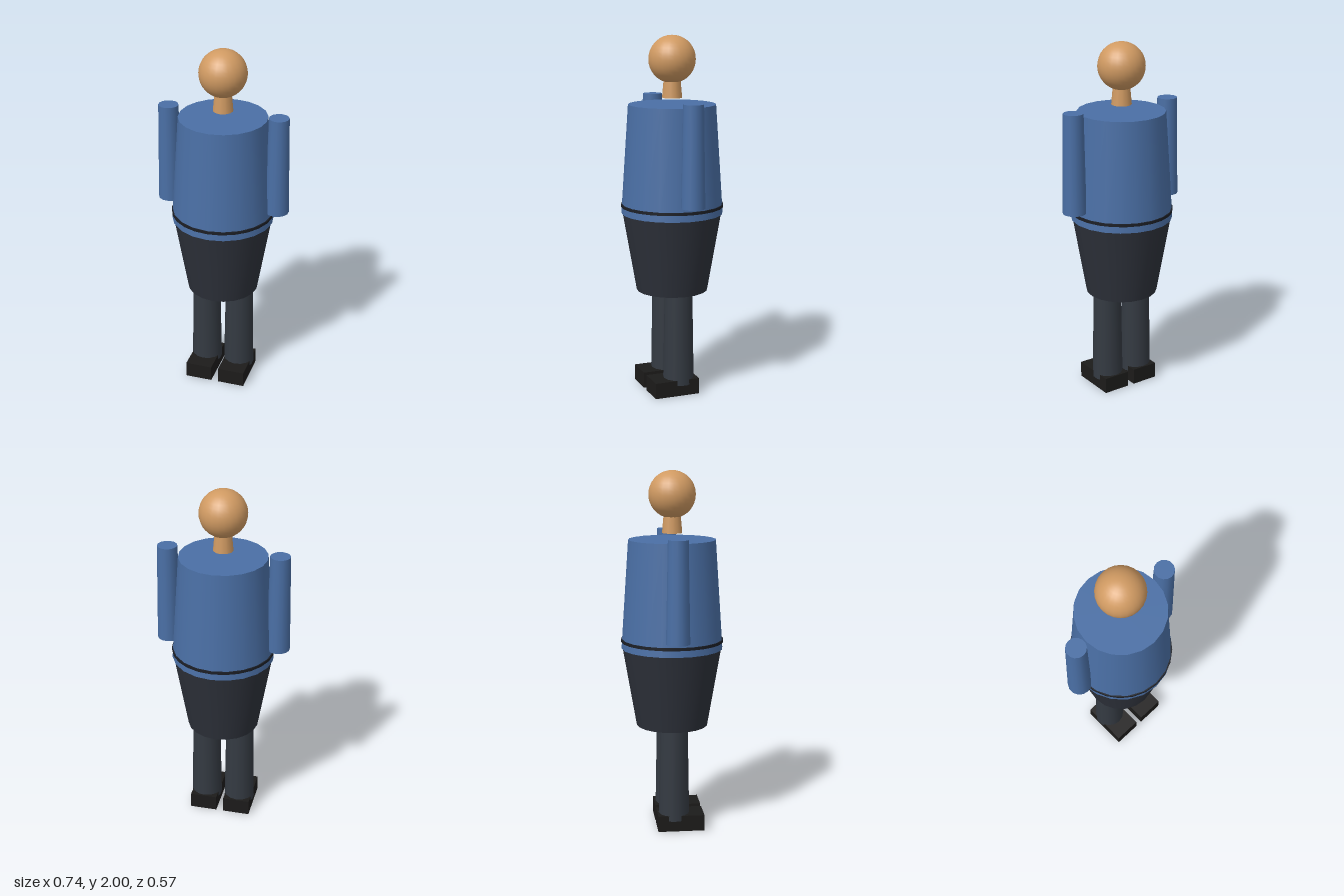
import * as THREE from 'three';

const mat = (color) => new THREE.MeshStandardMaterial({ color });

export function createModel() {
  const model = new THREE.Group();
  model.name = 'figure';

  const skin = mat(0xd09a62);
  const shirt = mat(0x4a6fa5);
  const trouser = mat(0x2d313a);
  const leg = mat(0x343a42);
  const beltDark = mat(0x1c1f26);
  const shoe = mat(0x1c1b1a);

  const add = (name, geometry, material, x, y, z = 0) => {
    const mesh = new THREE.Mesh(geometry, material);
    mesh.name = name;
    mesh.position.set(x, y, z);
    model.add(mesh);
  };

  // Tapered round part between two heights
  const taper = (name, material, rTop, rBottom, y0, y1, sides, x = 0) =>
    add(name, new THREE.CylinderGeometry(rTop, rBottom, y1 - y0, sides), material, x, (y0 + y1) / 2);

  // Head and neck
  add('head', new THREE.SphereGeometry(0.13, 24, 18), skin, 0, 1.87);
  taper('neck', skin, 0.045, 0.056, 1.66, 1.78, 12);

  // Body
  taper('torso', shirt, 0.242, 0.283, 1.02, 1.625, 20);
  taper('belt', beltDark, 0.285, 0.285, 1.057, 1.073, 24);
  taper('hips', trouser, 0.276, 0.2, 0.58, 1.02, 20);

  // Limbs and shoes, mirrored
  for (const [side, s] of [['left', 1], ['right', -1]]) {
    taper(side + 'Arm', shirt, 0.055, 0.065, 1.1, 1.655, 14, s * 0.309);
    taper(side + 'Leg', leg, 0.077, 0.087, 0.06, 0.62, 14, s * 0.098);
    add(side + 'Shoe', new THREE.BoxGeometry(0.154, 0.09, 0.26), shoe, s * 0.098, 0.045, 0.035);
  }
  return model;
}
